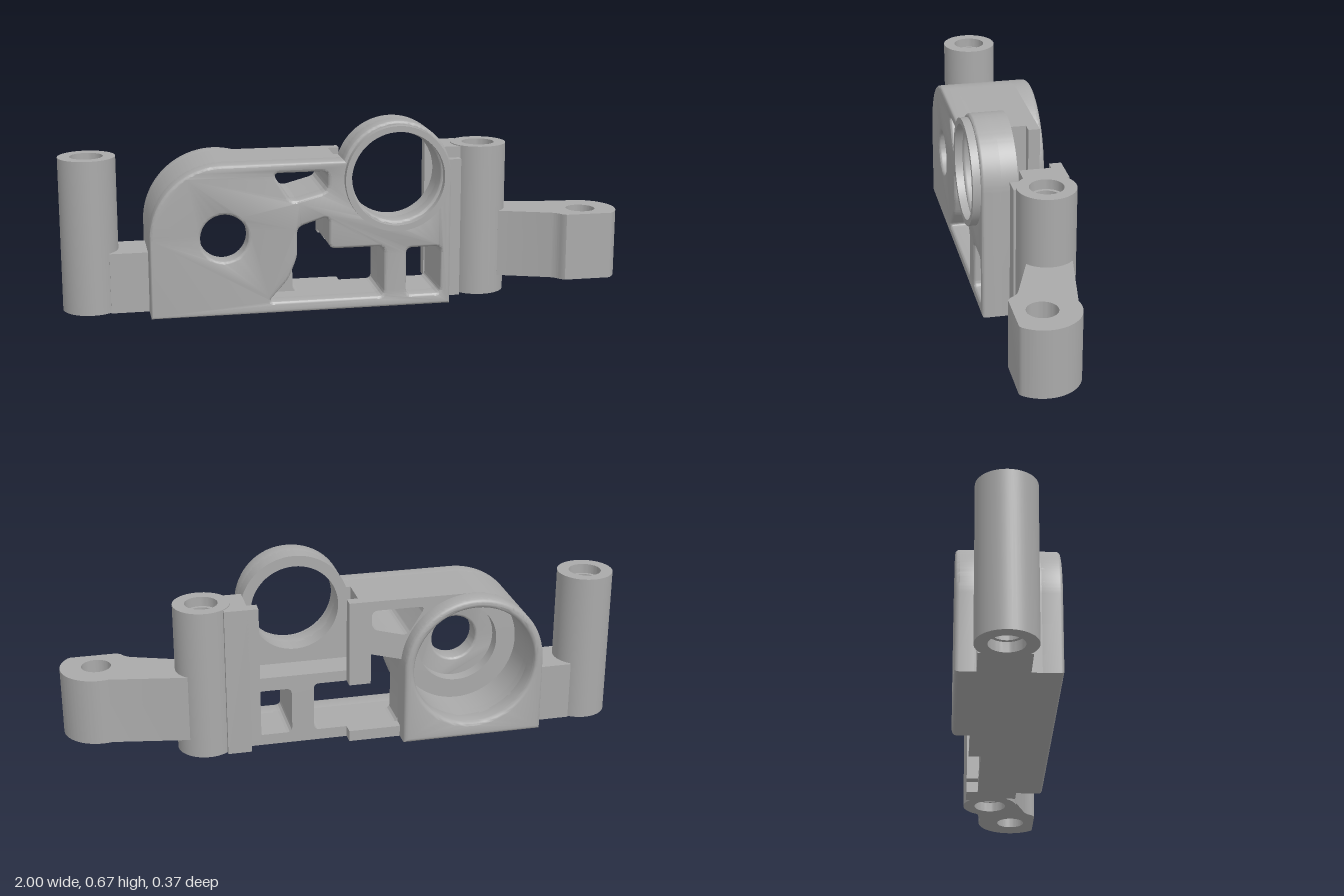
import * as THREE from 'three';
import { toCreasedNormals } from 'three/addons/utils/BufferGeometryUtils.js';

const gray = new THREE.MeshStandardMaterial({ color: 0xaaaaaa });
gray.name = 'gray';

const BX = -0.445, BY = 0.278, BR = 0.257; // bearing housing centre and outer radius
const RX = 0.163, RY = 0.472, RR = 0.197;  // ring centre and outer radius

// Closed polygon with softened corners
function rounded(points, r, Type = THREE.Path) {
  const pts = points.map(([x, y]) => new THREE.Vector2(x, y));
  const path = new Type();
  pts.forEach((p, i) => {
    const prev = pts[(i + pts.length - 1) % pts.length], next = pts[(i + 1) % pts.length];
    const toward = (q) => p.clone().add(q.clone().sub(p).setLength(Math.min(r, p.distanceTo(q) * 0.45)));
    const a = toward(prev), b = toward(next);
    if (i === 0) path.moveTo(a.x, a.y); else path.lineTo(a.x, a.y);
    path.quadraticCurveTo(p.x, p.y, b.x, b.y);
  });
  path.closePath();
  return path;
}

const circle = (x, y, r, Type = THREE.Path) => new Type().absarc(x, y, r, 0, Math.PI * 2, false);

// Extrude a front-facing outline between two depths, optionally with softened edges
function slab(name, shape, holes, z0, z1, bevel = 0) {
  shape.holes = holes;
  const geo = new THREE.ExtrudeGeometry(shape, {
    depth: z1 - z0 - 2 * bevel, curveSegments: 32, bevelEnabled: bevel > 0,
    bevelSize: bevel, bevelThickness: bevel, bevelOffset: -bevel, bevelSegments: 3,
  });
  geo.translate(0, 0, z0 + bevel);
  const mesh = new THREE.Mesh(toCreasedNormals(geo, 0.6), gray);
  mesh.name = name;
  return mesh;
}

function block(name, x0, x1, y0, y1, z0, z1) {
  const mesh = new THREE.Mesh(new THREE.BoxGeometry(x1 - x0, y1 - y0, z1 - z0), gray);
  mesh.position.set((x0 + x1) / 2, (y0 + y1) / 2, (z0 + z1) / 2);
  mesh.name = name;
  return mesh;
}

// Round post with a through bore, widened at both ends
function post(name, x, z, r, y0, y1) {
  const wide = 0.058, bore = 0.046, d = 0.035;
  const profile = [[wide, y0], [r, y0], [r, y1], [wide, y1], [wide, y1 - d], [bore, y1 - d], [bore, y0 + d], [wide, y0 + d], [wide, y0]];
  const geo = new THREE.LatheGeometry(profile.map(([a, b]) => new THREE.Vector2(a, b)), 48);
  const mesh = new THREE.Mesh(toCreasedNormals(geo, 0.6), gray);
  mesh.position.set(x, 0, z);
  mesh.name = name;
  return mesh;
}

// Outline: bottom left corner, given right-hand side, then the rounded top left shoulder
function bodyOutline(rightSide) {
  const s = new THREE.Shape().moveTo(-0.702, 0);
  rightSide(s);
  s.lineTo(BX, BY + BR);
  s.absarc(BX, BY, BR, Math.PI / 2, Math.PI, false);
  s.closePath();
  return s;
}
const lines = (pts) => (s) => pts.forEach(([x, y]) => s.lineTo(x, y));

export function createModel() {
  const group = new THREE.Group();
  group.name = 'bracket';

  // Openings shared by the layers of the body
  const triangle = () => rounded([[-0.275, 0.5], [-0.08, 0.5], [-0.08, 0.43], [-0.21, 0.395]], 0.025);
  const smallWindow = () => rounded([[0.2, 0.04], [0.325, 0.04], [0.325, 0.212], [0.2, 0.212]], 0.022);
  const frontWindow = () => rounded([[-0.295, 0.04], [0.12, 0.04], [0.12, 0.222], [-0.078, 0.222],
    [-0.078, 0.34], [-0.19, 0.305], [-0.19, 0.2], [-0.222, 0.12]], 0.025);
  const rearWindow = () => rounded([[-0.19, 0.04], [0.12, 0.04], [0.12, 0.222], [-0.078, 0.222],
    [-0.078, 0.34], [-0.19, 0.305]], 0.02);
  const pocket = () => circle(BX, BY, 0.222);

  // Front layers, running up around the ring
  const frontOutline = () => bodyOutline((s) => {
    s.lineTo(0.36, 0);
    s.lineTo(0.36, RY);
    s.absarc(RX, RY, RR, 0, Math.PI - Math.asin((BY + BR - RY) / RR), false);
  });
  const frontHoles = (r) => [triangle(), smallWindow(), frontWindow(), circle(RX, RY, 0.158), circle(BX, BY, r)];
  group.add(slab('frontPlate', frontOutline(), frontHoles(0.083), 0.08, 0.158, 0.01));
  group.add(slab('frontBody', frontOutline(), frontHoles(0.15), 0.033, 0.1));

  // Raised lip on the ring
  group.add(slab('ringLip', circle(RX, 0.469, 0.187, THREE.Shape), [circle(RX, 0.469, 0.166)], 0.15, 0.185));

  // Middle layer with the low shelf behind the ring
  group.add(slab('middleBody',
    bodyOutline(lines([[0.365, 0], [0.365, 0.262], [-0.04, 0.262], [-0.04, 0.535]])),
    [triangle(), smallWindow(), rearWindow(), pocket()], -0.08, 0.033));

  // Rear layer, whose free edge forms the left retaining lip
  group.add(slab('rearBody',
    bodyOutline(lines([[0, 0], [0, 0.04], [-0.19, 0.04], [-0.19, 0.305], [-0.078, 0.335],
      [-0.078, 0.222], [0, 0.222], [0, 0.535]])),
    [triangle(), pocket()], -0.122, -0.08));

  // Bearing housing at the back, with a softened rim
  const dome = bodyOutline((s) => {
    s.lineTo(BX + BR, 0);
    s.lineTo(BX + BR, BY);
    s.absarc(BX, BY, BR, 0, Math.PI / 2, false);
  });
  group.add(slab('bearingHousing', dome, [pocket()], -0.185, -0.1, 0.015));

  // Right-hand column and its retaining lip
  group.add(block('column', 0.355, 0.42, 0, 0.505, -0.08, 0.062));
  group.add(block('columnBack', 0.355, 0.44, 0, 0.545, -0.122, 0.03));
  group.add(block('retainingLip', 0.32, 0.36, 0.04, 0.545, -0.122, -0.08));

  // Screw posts and the web to the outer one
  group.add(post('rightPost', -0.9, -0.03, 0.1, 0, 0.548));
  group.add(post('leftPost', 0.505, -0.03, 0.1, 0, 0.548));
  group.add(block('postWeb', -0.835, -0.69, 0, 0.215, -0.115, 0.055));

  // Side arm with a bored, flat-fronted end
  const cx = 0.871, cz = 0.065, r = 0.127;
  const arm = new THREE.Shape().moveTo(0.565, -0.05);
  arm.lineTo(0.745, -0.115);
  arm.quadraticCurveTo(0.765, -0.125, 0.775, -0.145);
  arm.lineTo(0.79, -0.157);
  arm.lineTo(0.955, -0.157);
  arm.absarc(cx, -cz, r, -0.75, Math.PI * 0.58, false);
  arm.lineTo(0.57, 0.105);
  arm.closePath();
  const sideArm = slab('sideArm', arm, [circle(cx, -cz, 0.052)], 0.063, 0.305);
  sideArm.rotation.x = -Math.PI / 2;
  group.add(sideArm);

  return group;
}
